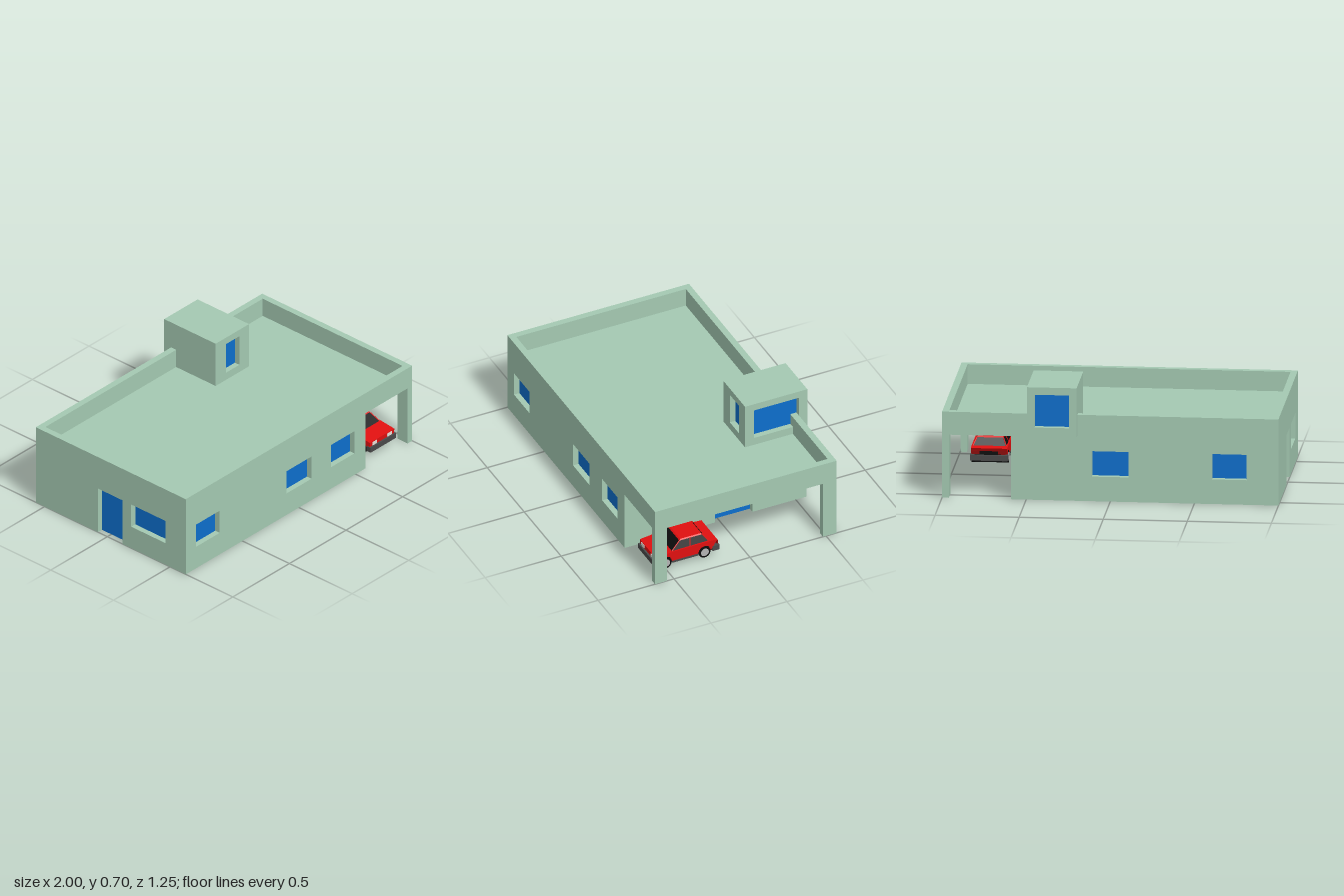
import * as THREE from 'three';

const mat = (color) => new THREE.MeshStandardMaterial({ color });
const M = {
  wall: mat(0xa4c9b2), glass: mat(0x0d6ecc), red: mat(0xe01010), black: mat(0x0c0c0c),
  dark: mat(0x4a4a4a), hub: mat(0xb4b4b4), lamp: mat(0xe8e0d8), tail: mat(0x8c0808),
};
const T = 0.04; // wall thickness

function add(parent, name, geo, material, x = 0, y = 0, z = 0) {
  const m = new THREE.Mesh(geo, material);
  m.name = name;
  m.position.set(x, y, z);
  parent.add(m);
  return m;
}

// Box given by its limits on each axis
function block(parent, name, material, [x0, x1], [y0, y1], [z0, z1]) {
  return add(parent, name, new THREE.BoxGeometry(x1 - x0, y1 - y0, z1 - z0), material,
    (x0 + x1) / 2, (y0 + y1) / 2, (z0 + z1) / 2);
}

// Box whose top rectangle differs from its bottom one; each is [halfWidth, zBack, zFront, y]
function taper(low, high) {
  const g = new THREE.BoxGeometry(1, 1, 1), p = g.attributes.position;
  for (let i = 0; i < p.count; i++) {
    const [w, zb, zf, y] = p.getY(i) > 0 ? high : low;
    p.setXYZ(i, Math.sign(p.getX(i)) * w, y, p.getZ(i) > 0 ? zf : zb);
  }
  const flat = g.toNonIndexed();
  flat.computeVertexNormals();
  return flat;
}

// Upright wall from an outline, with recessed panes in openings [u0, u1, y0, y1].
// paneDepth is 0 or T, whichever face of the extrusion is inside.
function wall(name, outline, openings, paneDepth) {
  const g = new THREE.Group();
  g.name = name;
  const shape = new THREE.Shape(outline.map(([u, y]) => new THREE.Vector2(u, y)));
  for (const [u0, u1, y0, y1] of openings) {
    if (y0 > 0) {
      shape.holes.push(new THREE.Path([[u0, y0], [u0, y1], [u1, y1], [u1, y0]].map(([u, y]) => new THREE.Vector2(u, y))));
    }
    block(g, y0 > 0 ? 'windowPane' : 'door', M.glass, [u0, u1], [y0, y1], [paneDepth - 0.004, paneDepth + 0.004]);
  }
  add(g, name + 'Panel', new THREE.ExtrudeGeometry(shape, { depth: T, bevelEnabled: false }), M.wall);
  return g;
}
const rect = (u0, u1, y0, y1) => [[u0, y0], [u1, y0], [u1, y1], [u0, y1]];
// Rectangle with a door notch rising from the ground
const withDoor = (u0, u1, h, d0, d1, dh) =>
  [[u0, 0], [d0, 0], [d0, dh], [d1, dh], [d1, 0], [u1, 0], [u1, h], [u0, h]];

function facingZ(parent, z, w) { w.position.z = z; parent.add(w); }
function facingX(parent, x, w) { w.rotation.y = -Math.PI / 2; w.position.x = x; parent.add(w); }

function buildHouse() {
  const house = new THREE.Group();
  house.name = 'house';
  const H = 0.525, BEAM = 0.385, W0 = 0.15, W1 = 0.305, zB = -0.53, zF = 0.585;

  // Front and back walls carry on over the carport to a corner post
  const long = [[-1, 0], [0.59, 0], [0.59, BEAM], [0.96, BEAM], [0.96, 0], [1, 0], [1, H], [-1, H]];
  facingZ(house, zF, wall('frontWall', long,
    [[-0.91, -0.7, W0, W1], [-0.11, 0.11, W0, W1], [0.285, 0.49, W0, W1]], 0));
  facingZ(house, zB - T, wall('backWall', long, [[-0.11, 0.11, W0, W1], [-0.81, -0.605, W0, W1]], T));

  // Side walls and the open carport side
  facingX(house, -0.96, wall('leftEndWall', withDoor(zB, zF, H, -0.075, 0.12, W1),
    [[-0.075, 0.12, 0, W1], [0.19, 0.465, W0, W1]], 0));
  facingX(house, 0.59, wall('carportWall', withDoor(zB, zF, BEAM, -0.215, 0.03, W1),
    [[-0.215, 0.03, 0, W1], [0.19, 0.465, W0, W1], [-0.485, -0.325, W0, W1]], T));
  facingX(house, 1, wall('carportFrame', [[zB, 0], [-0.48, 0], [-0.48, BEAM], [0.545, BEAM],
    [0.545, 0], [zF, 0], [zF, H], [zB, H]], [], 0));

  block(house, 'roofSlab', M.wall, [-0.96, 0.96], [BEAM, 0.405], [zB, zF]);
  block(house, 'floorSlab', M.wall, [-0.96, 0.55], [0, 0.01], [zB, zF]);
  return house;
}

function buildTower() {
  const tower = new THREE.Group();
  tower.name = 'roofTower';
  const x0 = 0.195, x1 = 0.49, z0 = -0.625, z1 = -0.215, y0 = 0.4, y1 = 0.7, a = 0.455, b = 0.655;
  facingZ(tower, z1 - T, wall('towerFront', rect(x0, x1, y0, y1), [[0.285, 0.405, a, b]], 0));
  facingZ(tower, z0, wall('towerBack', rect(x0, x1, y0, y1), [[0.24, 0.445, a, b]], T));
  facingX(tower, x1, wall('towerRight', rect(z0 + T, z1 - T, y0, y1), [[-0.57, -0.275, a, b]], T));
  facingX(tower, x0 + T, wall('towerLeft', rect(z0 + T, z1 - T, y0, y1), [], 0));
  block(tower, 'towerTop', M.wall, [x0 + T, x1 - T], [y1 - 0.02, y1], [z0 + T, z1 - T]);
  block(tower, 'towerBase', M.wall, [x0 + T, x1 - T], [y0, y0 + 0.02], [z0 + T, z1 - T]);
  return tower;
}

function buildCar() {
  const car = new THREE.Group();
  car.name = 'car';
  const axles = [0.25, 0.505], wy = 0.053, half = 0.108;

  // Body side profile (z, y) with wheel arches cut into the lower edge
  const s = new THREE.Shape();
  s.moveTo(0.162, 0.055);
  for (const z of axles) s.absarc(z, 0.055, 0.041, Math.PI, 0, true);
  s.lineTo(0.57, 0.055);
  s.lineTo(0.572, 0.109);
  s.lineTo(0.463, 0.121);
  s.lineTo(0.22, 0.123);
  s.lineTo(0.167, 0.12);
  const body = new THREE.ExtrudeGeometry(s, { depth: half * 2, bevelEnabled: false, curveSegments: 10 });
  body.rotateY(-Math.PI / 2);
  add(car, 'body', body, M.red, half);
  block(car, 'underbody', M.black, [-0.085, 0.085], [0.036, 0.1], [0.17, 0.565]);

  // Cabin glass, roof and pillars
  const low = [0.1, 0.22, 0.463, 0.12], high = [0.078, 0.255, 0.4, 0.168];
  add(car, 'cabinGlass', taper(low, high), M.black);
  add(car, 'roof', taper([0.08, 0.252, 0.403, 0.166], [0.074, 0.26, 0.394, 0.173]), M.red);
  const bar = (a, b) => {
    const p = new THREE.Vector3(...a), q = new THREE.Vector3(...b), d = q.clone().sub(p);
    const m = add(car, 'pillar', new THREE.CylinderGeometry(0.0035, 0.0035, d.length(), 6), M.red);
    m.position.copy(p).add(q).multiplyScalar(0.5);
    m.quaternion.setFromUnitVectors(new THREE.Vector3(0, 1, 0), d.normalize());
  };

  for (const side of [-1, 1]) {
    for (const [zl, zh] of [[0.22, 0.255], [0.343, 0.333], [0.463, 0.4]]) {
      bar([side * 0.1, 0.12, zl], [side * 0.078, 0.168, zh]);
    }
    // Lamps and sill
    block(car, 'headlight', M.lamp, side > 0 ? [0.046, 0.086] : [-0.086, -0.046], [0.083, 0.104], [0.568, 0.575]);
    block(car, 'tailLight', M.tail, side > 0 ? [0.055, 0.1] : [-0.1, -0.055], [0.085, 0.107], [0.16, 0.168]);
    block(car, 'sill', M.dark, side > 0 ? [0.08, 0.11] : [-0.11, -0.08], [0.043, 0.056], [0.291, 0.464]);
    // Wheels
    for (const z of axles) {
      const tyre = new THREE.CylinderGeometry(0.037, 0.037, 0.032, 24).rotateZ(Math.PI / 2);
      add(car, 'tyre', tyre, M.black, side * 0.094, wy, z);
      const hub = new THREE.CylinderGeometry(0.026, 0.026, 0.034, 24).rotateZ(Math.PI / 2);
      add(car, 'hubcap', hub, M.hub, side * 0.095, wy, z);
    }
  }

  block(car, 'frontBumper', M.dark, [-0.112, 0.112], [0.047, 0.08], [0.548, 0.582]);
  block(car, 'rearBumper', M.dark, [-0.112, 0.112], [0.047, 0.08], [0.154, 0.2]);
  car.position.x = 0.793;
  return car;
}

export function createModel() {
  const model = new THREE.Group();
  model.name = 'houseWithCarport';
  model.add(buildHouse(), buildTower(), buildCar());
  return model;
}
